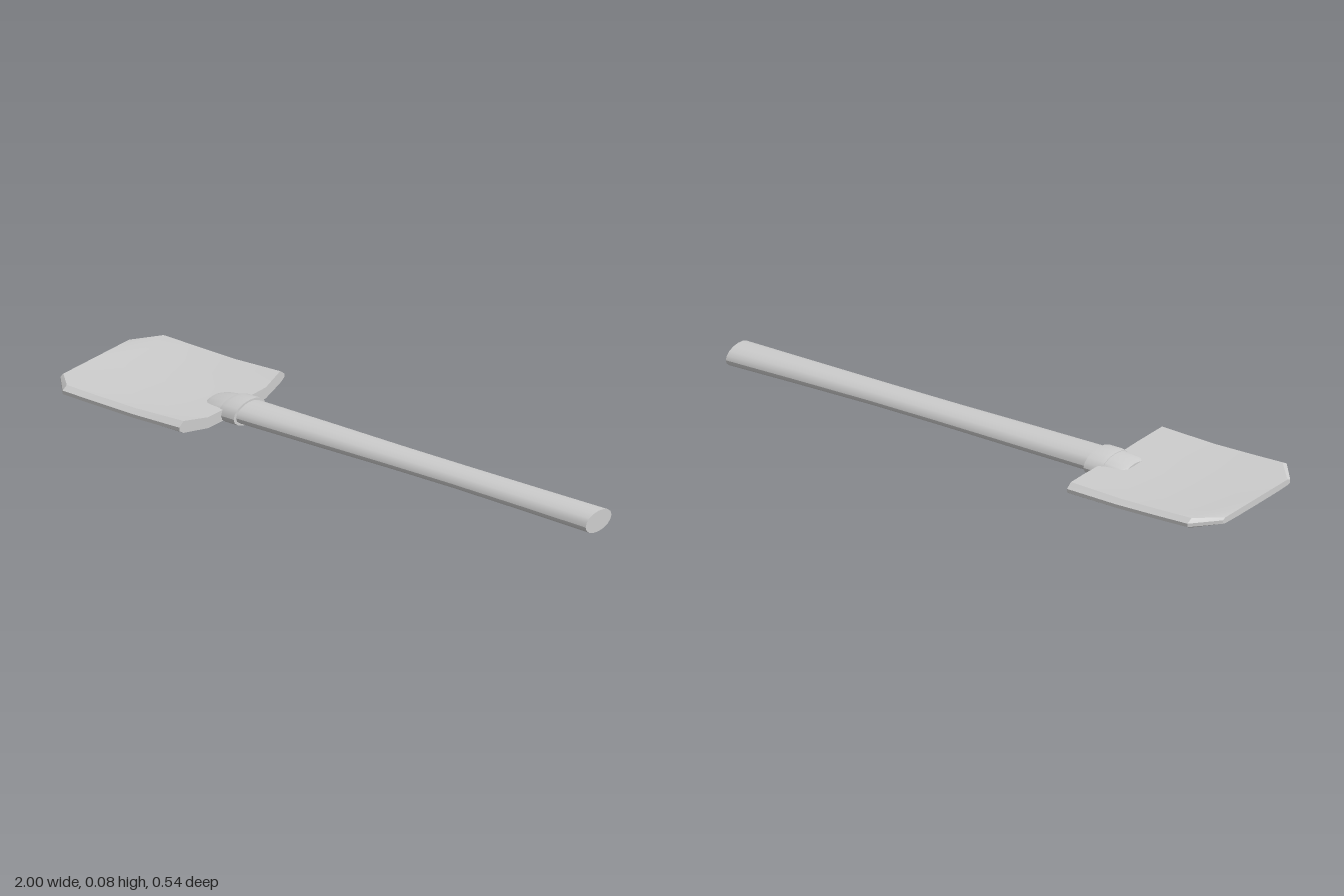
import * as THREE from 'three';
import { toCreasedNormals } from 'three/addons/utils/BufferGeometryUtils.js';

// Skin a series of equal-length rings (ordered along +x) and cap both ends.
function loft(rings, crease) {
  const n = rings[0].length, last = (rings.length - 1) * n, index = [];
  for (let i = 0; i < rings.length - 1; i++) {
    for (let j = 0; j < n; j++) {
      const a = i * n + j, b = i * n + (j + 1) % n;
      index.push(a, b, a + n, b, b + n, a + n);
    }
  }
  for (let j = 0; j < n / 2 - 1; j++) {
    const p = j, q = j + 1, r = n - 2 - j, s = n - 1 - j;
    index.push(p, r, q, p, s, r);
    index.push(last + p, last + q, last + r, last + p, last + r, last + s);
  }
  const geo = new THREE.BufferGeometry();
  geo.setAttribute('position', new THREE.Float32BufferAttribute(rings.flat(2), 3));
  geo.setIndex(index);
  return toCreasedNormals(geo, crease);
}

// Oval ring in the YZ plane.
function oval([x, cy, ry, rz], sides = 16) {
  return Array.from({ length: sides }, (_, i) => {
    const a = (i / sides) * Math.PI * 2;
    return [x, cy + ry * Math.cos(a), rz * Math.sin(a)];
  });
}

// Dished blade section with bevelled side edges.
function bladeRing({ x, edgeX, w, top, rim, low, lowRim }) {
  const mid = (rim + lowRim) / 2, f = w / 0.272;
  const half = [ // z, upper y, lower y, x
    [0, top, low, x],
    [0.15 * f, top + (rim - top) * 0.15, low + (lowRim - low) * 0.15, x],
    [w - 0.022 * f, rim, lowRim, edgeX],
    [w, mid + 0.005, mid - 0.007, edgeX],
  ];
  const across = [
    ...half.slice(1).reverse().map(([z, u, l, px]) => [-z, u, l, px]),
    ...half,
  ];
  return [
    ...across.map(([z, u, , px]) => [px, u, z]),
    ...across.reverse().map(([z, , l, px]) => [px, l, z]),
  ];
}

export function createModel() {
  const group = new THREE.Group();
  const grey = new THREE.MeshStandardMaterial({ color: 0xcccccc });
  grey.name = 'light grey';

  const add = (name, geometry) => {
    const mesh = new THREE.Mesh(geometry, grey);
    mesh.name = name;
    group.add(mesh);
  };

  // Blade, rising and thinning towards the clipped tip
  add('blade', loft([
    { x: -1, edgeX: -1, w: 0.185, top: 0.072, rim: 0.072, low: 0.05, lowRim: 0.052 },
    { x: -0.925, edgeX: -0.925, w: 0.272, top: 0.067, rim: 0.08, low: 0.043, lowRim: 0.047 },
    { x: -0.8, edgeX: -0.8, w: 0.272, top: 0.061, rim: 0.076, low: 0.036, lowRim: 0.043 },
    { x: -0.65, edgeX: -0.65, w: 0.272, top: 0.057, rim: 0.073, low: 0.03, lowRim: 0.039 },
    { x: -0.44, edgeX: -0.46, w: 0.272, top: 0.06, rim: 0.079, low: 0.023, lowRim: 0.038 },
  ].map(bladeRing), 0.4));

  // Tongue that blends the socket into the blade
  add('socketTongue', loft([
    [-0.53, 0.045, 0.02, 0.055],
    [-0.515, 0.044, 0.025, 0.072],
    [-0.45, 0.044, 0.036, 0.076],
    [-0.43, 0.044, 0.037, 0.077],
  ].map((r) => oval(r)), 0.7));

  // Collar around the handle
  add('collar', loft([
    [-0.455, 0.044, 0.037, 0.078],
    [-0.44, 0.044, 0.04, 0.082],
    [-0.39, 0.044, 0.04, 0.082],
  ].map((r) => oval(r)), 0.6));

  // Oval handle, slightly waisted and sloping down to its end
  add('handle', loft([
    [-0.42, 0.044, 0.034, 0.069],
    [-0.1, 0.043, 0.033, 0.065],
    [0.2, 0.042, 0.031, 0.061],
    [0.45, 0.041, 0.031, 0.06],
    [0.75, 0.038, 0.033, 0.063],
    [1, 0.035, 0.035, 0.067],
  ].map((r) => oval(r)), 0.7));

  return group;
}
